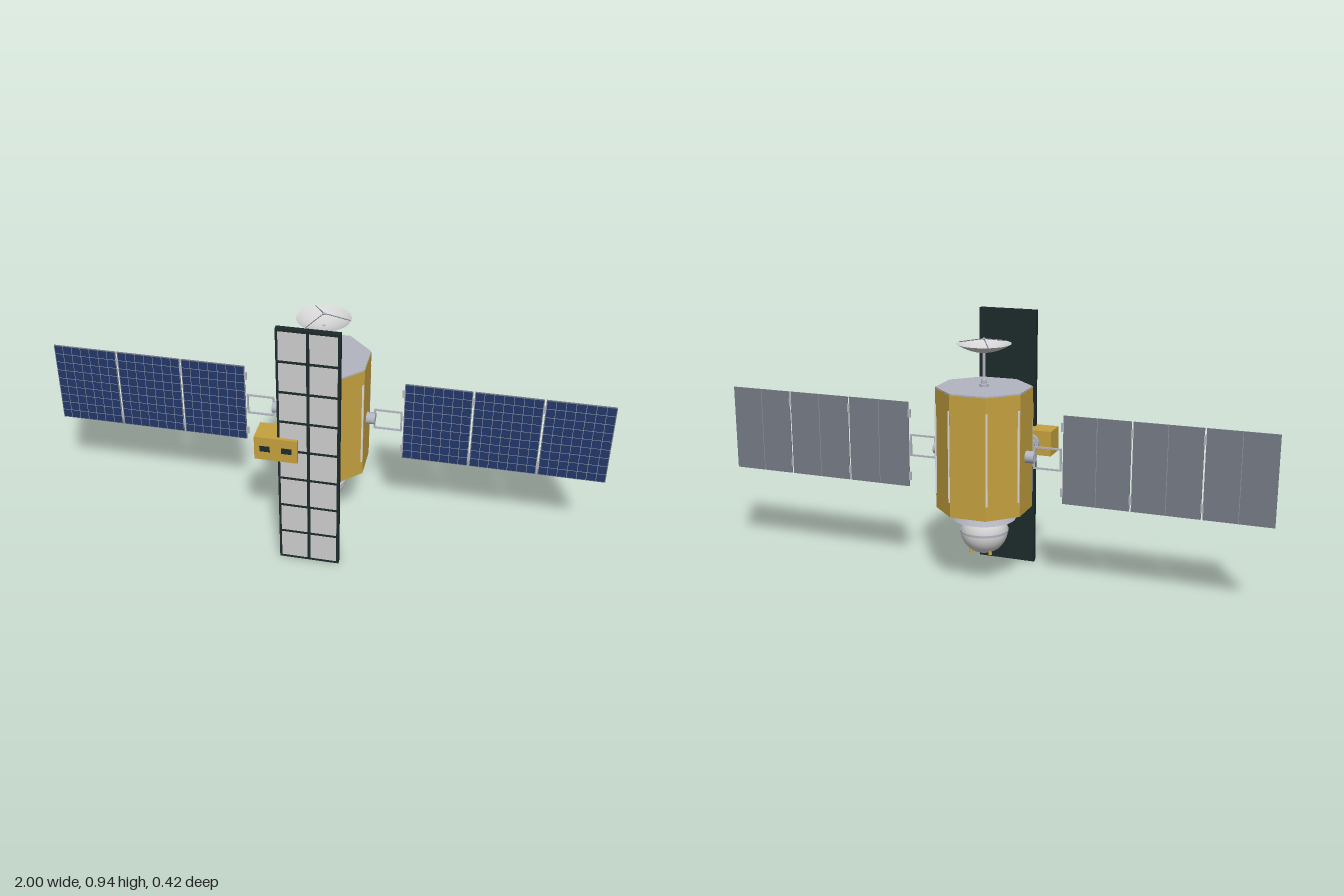
import * as THREE from 'three';

const mat = (name, color) => new THREE.MeshStandardMaterial({ name, color });

export function createModel() {
  const gold = mat('gold foil', 0xc4a03f);
  const grey = mat('light grey metal', 0xb2b5c0);
  const white = mat('white paint', 0xdadada);
  const backGrey = mat('panel back grey', 0x757a86);
  const lineGrey = mat('grid line grey', 0x9196a0);
  const blue = mat('solar cell blue', 0x22366a);
  const dark = mat('dark green frame', 0x1d2a2a);
  const cellGrey = mat('radar cell grey', 0xcccccc);
  const dishWhite = mat('dish white', 0xd4d4d4);
  dishWhite.side = THREE.DoubleSide;

  const model = new THREE.Group();
  const CZ = -0.055; // axis of the body
  const Y0 = 0.472;  // height of the wing axis

  const add = (parent, name, geo, material, x = 0, y = 0, z = 0) => {
    const m = new THREE.Mesh(geo, material);
    m.name = name;
    m.position.set(x, y, z);
    parent.add(m);
    return m;
  };
  const box = (parent, name, material, w, h, d, x, y, z) =>
    add(parent, name, new THREE.BoxGeometry(w, h, d), material, x, y, z);
  const group = (name, x = 0, y = 0, z = 0) => {
    const g = new THREE.Group();
    g.name = name;
    g.position.set(x, y, z);
    model.add(g);
    return g;
  };
  // eight-sided prism with flat faces towards the axes
  const octagon = (apothem, h) => {
    const r = apothem / Math.cos(Math.PI / 8);
    const g = new THREE.CylinderGeometry(r, r, h, 8).rotateY(Math.PI / 8).toNonIndexed();
    g.computeVertexNormals();
    return g;
  };
  const rod = (parent, name, material, a, b, r) => {
    const p = new THREE.Vector3(...a), q = new THREE.Vector3(...b);
    const m = add(parent, name, new THREE.CylinderGeometry(r, r, p.distanceTo(q), 8), material);
    m.position.copy(p).lerp(q, 0.5);
    m.quaternion.setFromUnitVectors(new THREE.Vector3(0, 1, 0), q.sub(p).normalize());
  };

  // Body with end plates and side radiators set into the foil
  const body = group('body', 0, 0, CZ);
  add(body, 'foilBody', octagon(0.155, 0.426), gold, 0, 0.488, 0);
  add(body, 'topPlate', octagon(0.154, 0.005), grey, 0, 0.7035, 0);
  for (let i = 0; i < 4; i++) {
    const a = i * Math.PI / 2;
    const plate = box(body, 'radiatorPlate', white, 0.142, 0.32, 0.008,
      Math.sin(a) * 0.1505, 0.487, Math.cos(a) * 0.1505);
    plate.rotation.y = a;
  }

  // Skirt and spherical tank underneath
  const tank = group('propulsion', 0, 0, CZ);
  add(tank, 'skirt', new THREE.CylinderGeometry(0.086, 0.112, 0.04, 32), grey, 0, 0.256, 0);
  add(tank, 'tankCollar', new THREE.CylinderGeometry(0.088, 0.088, 0.007, 32), grey, 0, 0.233, 0);
  add(tank, 'sphericalTank', new THREE.SphereGeometry(0.084, 40, 28), white, 0, 0.191, 0);
  add(tank, 'tankBand', new THREE.CylinderGeometry(0.086, 0.086, 0.008, 40), grey, 0, 0.19, 0);
  for (const sx of [-1, 1]) for (const sz of [-1, 1]) {
    add(tank, 'thruster', new THREE.CylinderGeometry(0.005, 0.007, 0.016, 12), gold,
      sx * 0.036, 0.121, sz * 0.036);
  }

  // Dish antenna on a stepped mast
  const dish = group('dishAntenna', 0, 0, CZ);
  const mastProfile = [[0, 0.704], [0.015, 0.704], [0.015, 0.715], [0.011, 0.717], [0.011, 0.728],
    [0.007, 0.737], [0.005, 0.74], [0.005, 0.826], [0, 0.826]].map(p => new THREE.Vector2(...p));
  mastProfile.forEach((p, i) => {
    // each step is a separate ring so that its edges stay sharp
    if (i > 0) add(dish, 'mast', new THREE.LatheGeometry([mastProfile[i - 1], p], 20), grey);
  });
  const bowl = [];
  for (let i = 0; i <= 10; i++) {
    const t = i / 10;
    bowl.push(new THREE.Vector2(0.094 * t, 0.824 + 0.03 * t * t));
  }
  add(dish, 'dishBowl', new THREE.LatheGeometry(bowl, 40), dishWhite);
  for (let i = 0; i < 3; i++) {
    const a = i * Math.PI * 2 / 3;
    rod(dish, 'feedStrut', backGrey, [0.091 * Math.cos(a), 0.854, 0.091 * Math.sin(a)], [0, 0.871, 0], 0.0015);
  }
  add(dish, 'feed', new THREE.SphereGeometry(0.005, 12, 8), grey, 0, 0.87, 0);

  // Solar wings: drum, yoke and three hinged panels on each side
  const PW = 0.234, PH = 0.31, COLS = 7, ROWS = 9;
  for (const s of [-1, 1]) {
    const wing = group(s > 0 ? 'leftWing' : 'rightWing', 0, Y0, CZ);
    const drum = add(wing, 'wingDrum', new THREE.CylinderGeometry(0.021, 0.021, 0.04, 24), grey, s * 0.166, 0, 0);
    drum.rotation.z = Math.PI / 2;
    for (const v of [-1, 1]) {
      box(wing, 'yokeBar', grey, 0.1, 0.006, 0.006, s * 0.231, v * 0.037, 0);
    }
    for (const x of [0.184, 0.278]) box(wing, 'yokeCross', grey, 0.006, 0.08, 0.006, s * x, 0, 0);

    for (let k = 0; k < 3; k++) {
      const left = 0.286 + k * 0.24;
      const cx = s * (left + PW / 2);
      box(wing, 'solarPanel', backGrey, PW, PH, 0.004, cx, 0.001, 0);
      box(wing, 'solarCells', blue, PW - 0.006, PH - 0.006, 0.001, cx, 0.001, 0.0023);
      for (let i = 1; i < COLS; i++) {
        box(wing, 'cellLine', lineGrey, 0.0018, PH, 0.001, cx + (i / COLS - 0.5) * PW, 0.001, 0.0028);
      }
      for (let j = 1; j < ROWS; j++) {
        box(wing, 'cellLine', lineGrey, PW, 0.0018, 0.001, cx, 0.001 + (j / ROWS - 0.5) * PH, 0.0028);
      }
      box(wing, 'backSeam', lineGrey, 0.002, PH, 0.001, cx, 0.001, -0.0022);
      for (const v of [-1, 1]) {
        box(wing, 'hinge', grey, 0.01, 0.03, 0.005, s * (left - 0.003), v * 0.115, 0);
      }
    }
  }

  // Flat radar panel with two columns of eight cells
  const radar = group('radarPanel', 0, 0.47, 0.1875);
  box(radar, 'radarFrame', dark, 0.214, 0.94, 0.019, 0, 0, 0);
  for (let i = 0; i < 2; i++) for (let j = 0; j < 8; j++) {
    box(radar, 'radarCell', cellGrey, 0.093, 0.106, 0.003, (i - 0.5) * 0.104, (j - 3.5) * 0.1163, 0.009);
  }

  // Bracket holding the radar panel
  const mount = group('radarMount');
  box(mount, 'bracket', grey, 0.124, 0.092, 0.068, 0, 0.471, 0.132);
  for (const s of [-1, 1]) box(mount, 'mountRail', grey, 0.012, 0.25, 0.014, s * 0.045, 0.47, 0.172);

  // Instrument box beside the radar panel
  const unit = group('instrumentBox', -0.111, 0.475, 0.165);
  box(unit, 'instrumentHousing', gold, 0.15, 0.09, 0.09, 0, 0, 0);
  for (const s of [-1, 1]) box(unit, 'sensorWindow', dark, 0.036, 0.022, 0.003, s * 0.038, 0, 0.045);
  for (const [r, d, z] of [[0.032, 0.012, -0.05], [0.02, 0.01, -0.06]]) {
    const lens = add(unit, 'rearSensor', new THREE.CylinderGeometry(r, r, d, 24), grey, 0, 0, z);
    lens.rotation.x = Math.PI / 2;
  }

  return model;
}
